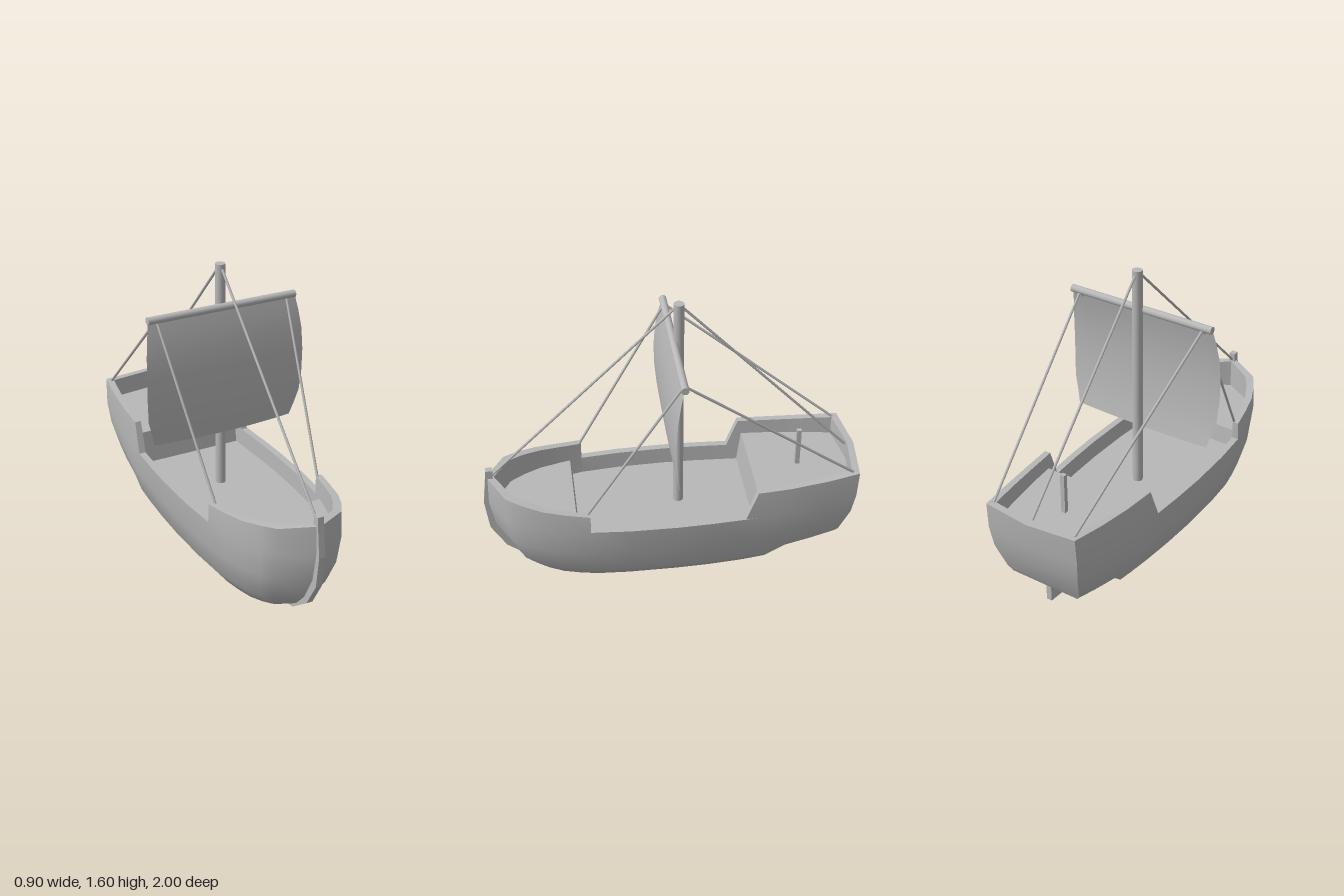
import * as THREE from 'three';
import { toCreasedNormals } from 'three/addons/utils/BufferGeometryUtils.js';

const { lerp, clamp } = THREE.MathUtils;

// Stations from stern to bow: [z, half width, rail height]
const STATIONS = [
  [-0.97, 0.27, 0.647], [-0.8, 0.297, 0.635], [-0.6, 0.32, 0.626], [-0.5, 0.327, 0.625],
  [-0.42, 0.333, 0.625], [-0.36, 0.337, 0.46], [-0.18, 0.347, 0.46], [0, 0.352, 0.46],
  [0.25, 0.347, 0.46], [0.455, 0.33, 0.46], [0.455, 0.33, 0.56], [0.58, 0.305, 0.568],
  [0.7, 0.275, 0.58], [0.8, 0.23, 0.595], [0.88, 0.18, 0.605], [0.97, 0.014, 0.62],
];
// Six levels from keel to rail
const FRACTION = [0, 0.6, 0.83, 0.95, 1, 0.99];
const MID_Y = [0.005, 0.04, 0.14, 0.3, 0.46];
const BOW_Y = [0.06, 0.09, 0.17, 0.31, 0.46];
const BOW_Z = [0.77, 0.81, 0.88, 0.95, 0.975, 0.97];
const COUNTER_Y = [0.16, 0.16, 0.2, 0.32, 0.47];
const STERN_Y = [0.2, 0.2, 0.235, 0.38, 0.5];
const STERN_Z = [-0.88, -0.88, -0.895, -0.945, -0.962, -0.97];

// Outer skin point on a station at one level, for the +x side
function skin([z, w, top], level) {
  const aft = z <= -0.6;
  const s = clamp((-z - 0.6) / 0.37, 0, 1);
  const b = Math.pow(clamp((z - 0.3) / 0.67, 0, 1), 3);
  let y = top;
  if (level < 5) {
    y = aft ? lerp(COUNTER_Y[level], STERN_Y[level], s)
      : lerp(MID_Y[level], BOW_Y[level], b) + (z < 0 ? 0.025 * Math.pow(-z / 0.5, 3) * (1 - level / 4) : 0);
  }
  const f = aft && level === 1 ? 0.74 : FRACTION[level];
  const pz = aft ? lerp(-0.6, STERN_Z[level], s) : z > 0.3 ? lerp(0.3, BOW_Z[level], (z - 0.3) / 0.67) : z;
  // keep the upright rail ends exactly on their station
  return [w * f, y, level >= 4 && z < 0.5 ? Math.max(pz, z) : pz];
}

// Inner face of the bulwark
function inner([z, w]) {
  const shift = 0.035 * clamp((Math.abs(z) - 0.455) / 0.515, 0, 1);
  return [Math.max(0, w - 0.037), z - Math.sign(z) * shift];
}

// Surface through equally long rows of points
function surface(rows, crease = 0.75) {
  const n = rows[0].length, index = [];
  for (let i = 0; i < rows.length - 1; i++) {
    for (let j = 0; j < n - 1; j++) {
      const a = i * n + j, b = a + n;
      index.push(a, a + 1, b, b, a + 1, b + 1);
    }
  }
  const g = new THREE.BufferGeometry();
  g.setAttribute('position', new THREE.Float32BufferAttribute(rows.flat(2), 3));
  g.setIndex(index);
  return toCreasedNormals(g, crease);
}

export function createModel() {
  const ship = new THREE.Group();
  ship.name = 'sailingShip';
  const grey = new THREE.MeshStandardMaterial({ color: 0xb8b8b8, side: THREE.DoubleSide });
  grey.name = 'plain grey';

  const add = (name, geometry) => {
    const mesh = new THREE.Mesh(geometry, grey);
    mesh.name = name;
    ship.add(mesh);
    return mesh;
  };

  // Round bar between two points
  const bar = (name, from, to, radius, sides = 8) => {
    const a = new THREE.Vector3(...from), b = new THREE.Vector3(...to);
    const mesh = add(name, new THREE.CylinderGeometry(radius, radius, a.distanceTo(b), sides));
    mesh.position.copy(a).add(b).multiplyScalar(0.5);
    mesh.quaternion.setFromUnitVectors(new THREE.Vector3(0, 1, 0), b.sub(a).normalize());
  };

  // Side profile in (z, y), extruded across the ship
  const plate = (name, points, width) => {
    const shape = new THREE.Shape(points.map(([z, y]) => new THREE.Vector2(-z, y)));
    const g = new THREE.ExtrudeGeometry(shape, { depth: width, bevelEnabled: false });
    g.translate(0, 0, -width / 2).rotateY(Math.PI / 2);
    add(name, g);
  };

  // Hull with bulwarks: inner face, rail, skin, keel, and the same mirrored
  add('hull', surface(STATIONS.map((st) => {
    const [ix, iz] = inner(st);
    const half = [[ix, 0.34, iz], [ix, st[2], iz]];
    for (let level = 5; level >= 0; level--) half.push(skin(st, level));
    const mirrored = half.slice(0, -1).reverse().map(([x, y, z]) => [-x, y, z]);
    return [...half, ...mirrored];
  })));

  // Transom, slightly bowed in the middle, with rail and inner face
  const stern = STATIONS[0], [sx, sz] = inner(stern);
  const across = [-1, 0, 1];
  const transom = [0, 1, 2, 3, 4, 5].map((level) => {
    const [x, y, z] = skin(stern, Math.max(level, 1));
    return across.map((k) => [k * x, y, z - (level < 2 ? 0 : 0.03 * (level - 1) / 4) * (1 - Math.abs(k))]);
  });
  for (const y of [stern[2], 0.5]) {
    transom.push(across.map((k) => [k * sx, y, sz - 0.03 * (1 - Math.abs(k))]));
  }
  add('transom', surface(transom));

  // Decks, fitted to the inner face
  const insides = STATIONS.map(inner);
  const insideWidth = (z) => {
    for (let i = 1; i < insides.length; i++) {
      const [x0, z0] = insides[i - 1], [x1, z1] = insides[i];
      if (z <= z1 && z1 > z0) return lerp(x0, x1, clamp((z - z0) / (z1 - z0), 0, 1));
    }
    return 0;
  };
  const deck = (name, y, z0, z1) => {
    const zs = [z0, ...insides.map((p) => p[1]).filter((z) => z > z0 + 0.005 && z < z1 - 0.005), z1];
    add(name, surface(zs.map((z) => [[-insideWidth(z), y, z], [insideWidth(z), y, z]])));
  };
  deck('mainDeck', 0.36, -0.46, 0.54);
  deck('aftDeck', 0.54, -0.965, -0.44);
  deck('foreDeck', 0.46, 0.52, 0.935);

  // Sloping bulkheads at the ends of the main deck
  const bulkhead = (name, zLow, zHigh, yHigh) => add(name, surface(
    [[0.35, zLow], [yHigh, zHigh]].map(([y, z]) => [[-insideWidth(z), y, z], [insideWidth(z), y, z]])));
  bulkhead('aftBulkhead', -0.418, -0.44, 0.54);
  bulkhead('foreBulkhead', 0.508, 0.52, 0.46);

  // Stem running from the post at the bow down to the keel
  plate('stem', [
    [0.94, 0.67], [0.975, 0.67], [0.98, 0.62], [1, 0.46], [0.98, 0.285], [0.9, 0.145], [0.77, 0.045],
    [0.58, 0.012], [0.5, 0.02], [0.74, 0.07], [0.86, 0.18], [0.93, 0.31], [0.945, 0.46], [0.94, 0.6],
  ], 0.034);
  plate('rudder', [[-0.5, 0.055], [-0.85, 0.08], [-0.85, 0.21], [-0.6, 0.18]], 0.03);

  // Steering post on the aft deck
  const post = add('steeringPost', new THREE.BoxGeometry(0.024, 0.225, 0.024));
  post.position.set(0, 0.65, -0.695);

  // Mast and yard
  bar('mast', [0, 0.35, -0.045], [0, 1.605, -0.045], 0.027, 20);
  bar('yard', [-0.42, 1.38, -0.018], [0.42, 1.38, -0.018], 0.02, 16);

  // Sail: [y, half width, z]
  const profile = [
    [1.37, 0.42, -0.012], [1.3, 0.432, 0.004], [1.2, 0.445, 0.02], [1.08, 0.45, 0.028],
    [0.96, 0.449, 0.026], [0.84, 0.442, 0.015], [0.76, 0.42, 0.003], [0.69, 0.4, -0.012],
  ];
  add('sail', surface(profile.map(([y, w, z], i) => {
    const row = [];
    for (let k = -6; k <= 6; k++) {
      const belly = 1 - Math.pow(k / 6, 2), low = i / (profile.length - 1);
      row.push([w * k / 6, y - 0.014 * belly * low, z + 0.005 * belly]);
    }
    return row;
  })));

  // Rigging
  bar('forestay', [0, 1.58, -0.025], [0, 0.625, 0.95], 0.007);
  bar('backstay', [0, 1.58, -0.065], [0, 0.645, -0.95], 0.007);
  for (const side of [1, -1]) {
    bar('foreSheet', [0.37 * side, 1.37, -0.015], [0.295 * side, 0.56, 0.465], 0.007);
    bar('aftBrace', [0.37 * side, 1.375, -0.02], [0.245 * side, 0.645, -0.94], 0.007);
  }
  return ship;
}
